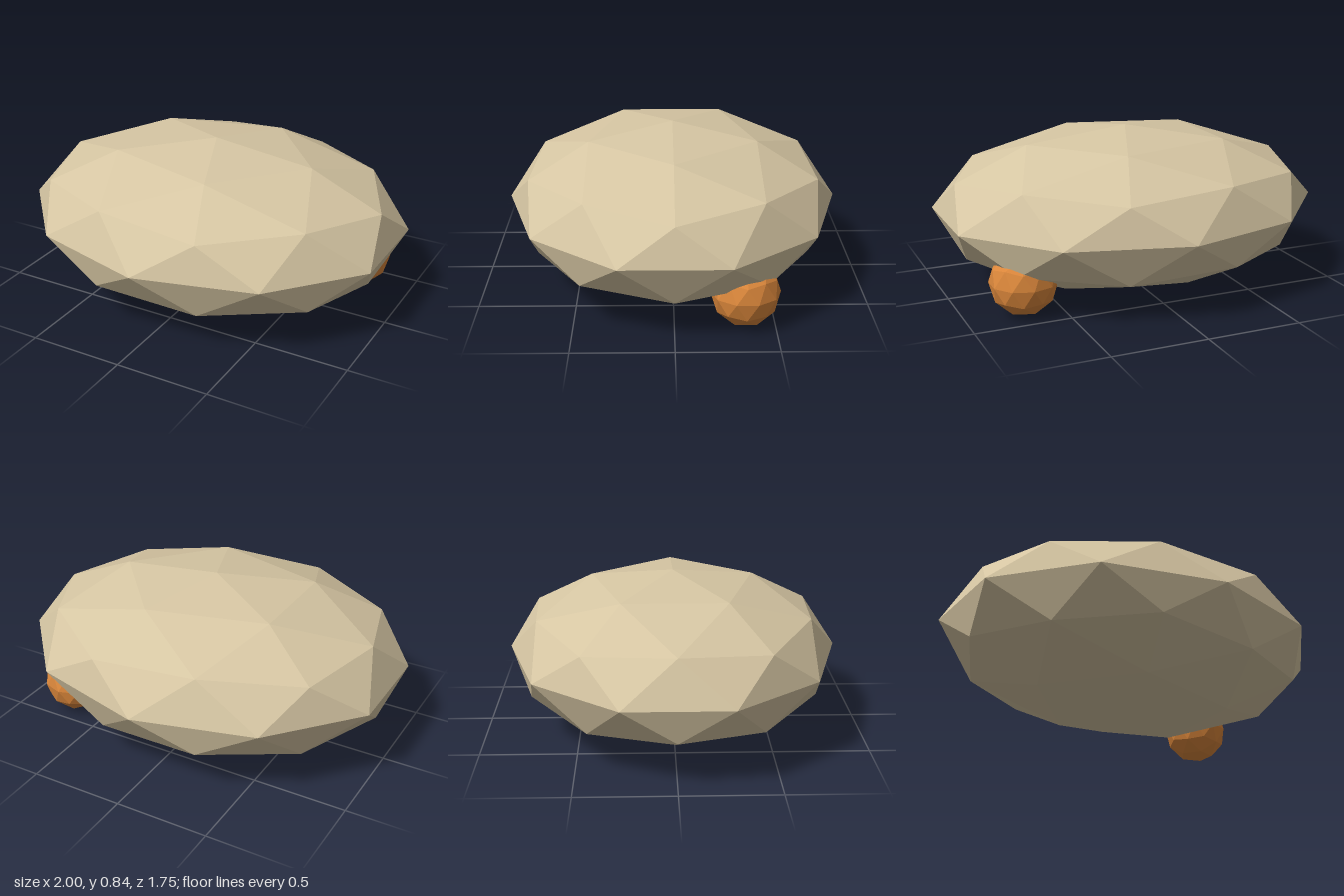
import * as THREE from 'three';

const shellMaterial = new THREE.MeshStandardMaterial({ color: 0xd6c6a3, flatShading: true });
shellMaterial.name = 'sand';
const ballMaterial = new THREE.MeshStandardMaterial({ color: 0xdb873b, flatShading: true });
ballMaterial.name = 'orange';

// Faceted ball with a vertex at each pole, stretched to the given radii
function facetedBall(name, material, [rx, ry, rz], [x, y, z]) {
  const golden = (1 + Math.sqrt(5)) / 2;
  const geometry = new THREE.IcosahedronGeometry(1, 1);
  geometry.rotateX(-Math.atan(golden)); // bring a vertex to the top
  geometry.rotateY(Math.PI / 2); // upper ring starts at +x
  geometry.scale(rx, ry, rz);
  geometry.computeVertexNormals();
  const mesh = new THREE.Mesh(geometry, material);
  mesh.name = name;
  mesh.position.set(x, y, z);
  return mesh;
}

export function createModel() {
  const model = new THREE.Group();
  model.name = 'flattenedBodyWithBall';
  // Wide flattened body
  model.add(facetedBall('body', shellMaterial, [1.0515, 0.419, 0.875], [0, 0.423, 0]));
  // Small ball tucked under the back left edge
  model.add(facetedBall('ball', ballMaterial, [0.175, 0.175, 0.175], [0.7, 0.175, -0.35]));
  return model;
}
